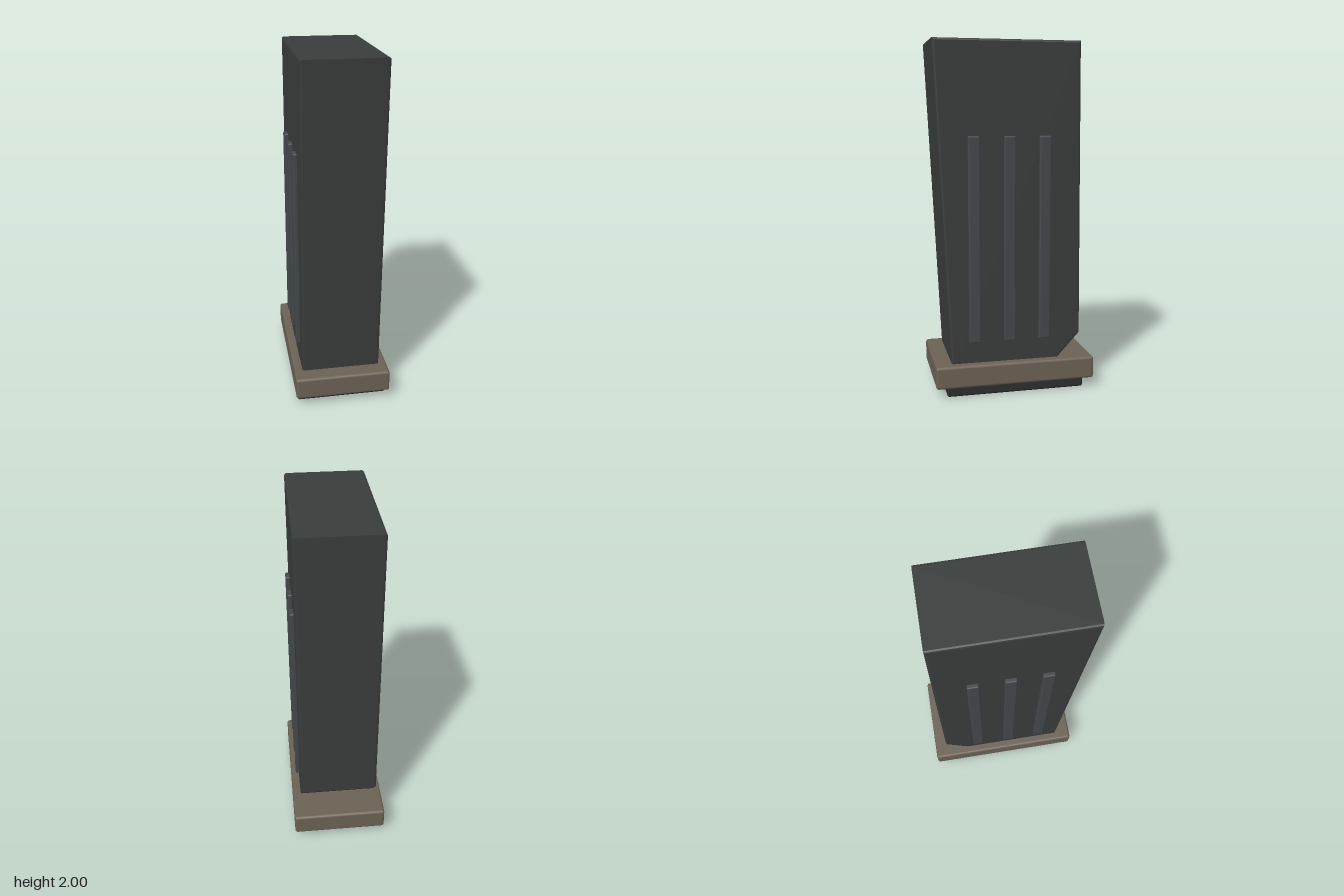
import * as THREE from 'three';
import { RoundedBoxGeometry } from 'three/addons/geometries/RoundedBoxGeometry.js';

const paint = (color) => new THREE.MeshStandardMaterial({ color });

export function createModel() {
  const model = new THREE.Group();
  const shell = paint(0x383c3b);
  const ribPaint = paint(0x43474b);
  const tan = paint(0x6b6154);
  const dark = paint(0x2b2e2d);

  const add = (name, geometry, material, x = 0, y = 0, z = 0) => {
    const mesh = new THREE.Mesh(geometry, material);
    mesh.name = name;
    mesh.position.set(x, y, z);
    model.add(mesh);
  };

  // Tapered body: side profile (z, y) extruded across the width
  const bevel = 0.012, halfWidth = 0.228;
  const profile = new THREE.Shape([
    [0.368, 0.15], [0.46, 2], [-0.376, 2], [-0.388, 0.32], [-0.23, 0.15],
  ].map(([z, y]) => new THREE.Vector2(z, y)));
  const body = new THREE.ExtrudeGeometry(profile, {
    depth: 2 * (halfWidth - bevel),
    bevelEnabled: true,
    bevelSize: bevel,
    bevelThickness: bevel,
    bevelOffset: -bevel,
    bevelSegments: 2,
  });
  body.translate(0, 0, bevel - halfWidth);
  body.rotateY(-Math.PI / 2);
  add('body', body, shell);

  // Three raised ribs on each side
  for (const [side, label] of [[1, 'left'], [-1, 'right']]) {
    [0.237, 0.034, -0.17].forEach((z, i) => {
      add(`${label}Rib${i + 1}`, new RoundedBoxGeometry(0.046, 1.17, 0.066, 2, 0.008),
        ribPaint, side * 0.228, 0.89, z);
    });
  }

  // Base flange and the foot plate under it
  add('baseFlange', new RoundedBoxGeometry(0.552, 0.13, 0.93, 2, 0.015), tan, 0, 0.117, 0);
  add('footPlate', new RoundedBoxGeometry(0.524, 0.1, 0.802, 2, 0.012), dark, 0, 0.05, 0);

  return model;
}
